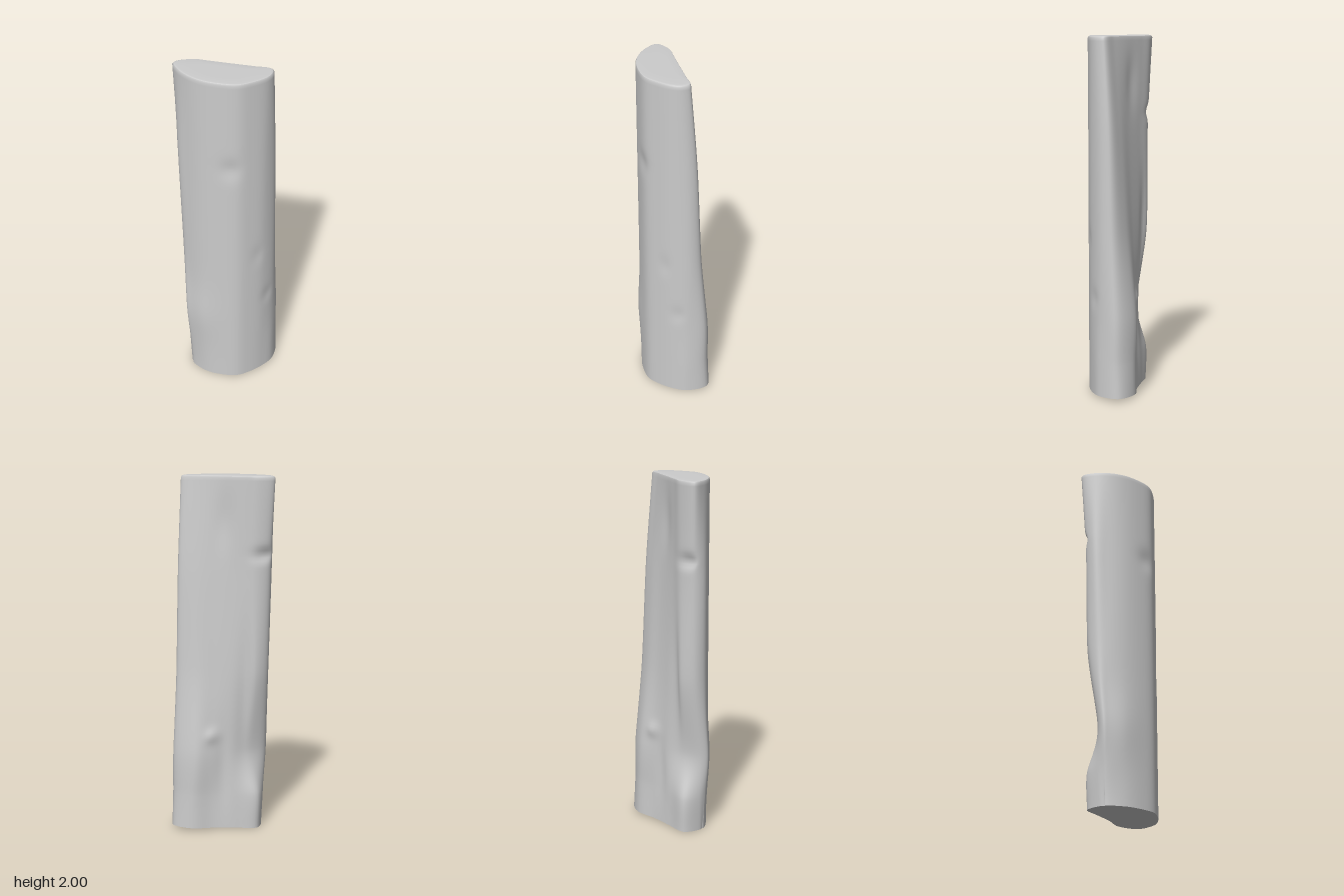
import * as THREE from 'three';

// Split face and its two corners as [x, z] pairs, from the back edge to the right edge
const faces = [
  { y: 0, p: [-.226, -.07, -.215, -.1, -.14, -.165, -.04, -.115, .08, -.05, .2, 0, .255, .11, .165, .195] },
  { y: 0.2, p: [-.235, -.08, -.215, -.115, -.14, -.168, -.04, -.11, .08, -.045, .195, 0, .245, .115, .165, .193] },
  { y: 0.45, p: [-.25, -.09, -.22, -.11, -.13, -.11, -.03, -.09, .08, -.048, .18, -.01, .243, .113, .17, .185] },
  { y: 0.9, p: [-.24, -.12, -.2, -.165, -.115, -.165, -.035, -.1, .055, -.035, .15, .03, .21, .122, .172, .18] },
  { y: 1.5, p: [-.245, -.14, -.2, -.185, -.12, -.168, -.05, -.1, .04, -.015, .13, .062, .187, .135, .16, .18] },
  { y: 1.988, p: [-.238, -.15, -.21, -.216, -.12, -.185, -.06, -.115, .02, -.015, .1, .085, .155, .155, .13, .19] },
];
// Bark curve shared by every height, continuing from the right edge round to the back
const bark = [.075, .21, -.015, .203, -.092, .18, -.16, .115, -.215, .03, -.24, -.06];
const COLS = 14, AROUND = COLS * 6, ROWS = 125;

// Dents and knots: u along the outline, height y, their spreads, push along the split face normal
const dents = [
  { u: 1.4, y: 1.57, su: 0.7, sy: 0.035, d: -0.022 },
  { u: 2.5, y: 0.85, su: 0.35, sy: 0.35, d: -0.018 },
  { u: 3.6, y: 0.35, su: 0.3, sy: 0.2, d: -0.012 },
  { u: 4.1, y: 0.55, su: 0.35, sy: 0.04, d: 0.014 },
  { u: 3.7, y: 1.75, su: 0.4, sy: 0.15, d: -0.01 },
  { u: 10.4, y: 1.48, su: 0.6, sy: 0.06, d: 0.01 },
  { u: 7.7, y: 0.56, su: 0.4, sy: 0.05, d: 0.01 },
  { u: 8.5, y: 0.88, su: 0.4, sy: 0.06, d: 0.006 },
  { u: 12.7, y: 0.43, su: 1.3, sy: 0.18, d: -0.016 },
  { u: 13, y: 0, su: 0.8, sy: 0.2, d: 0.016 },
];

// One vertical rail per outline point
const rails = Array.from({ length: COLS }, (_, i) => new THREE.CatmullRomCurve3(
  faces.map(({ y, p }) => {
    const [from, k] = i < 8 ? [p, i * 2] : [bark, (i - 8) * 2];
    return new THREE.Vector3(from[k], y, from[k + 1]);
  }), false, 'catmullrom', 0.4));

// Closed outline at one level, with its dents
function ring(t) {
  const outline = new THREE.CatmullRomCurve3(rails.map(r => r.getPoint(t)), true, 'centripetal');
  return Array.from({ length: AROUND }, (_, k) => {
    const v = outline.getPoint(k / AROUND);
    const push = dents.reduce((sum, e) => {
      const du = Math.abs(k * COLS / AROUND - e.u);
      const near = Math.min(du, COLS - du) / e.su;
      return sum + e.d * Math.exp(-(near ** 2) - ((v.y - e.y) / e.sy) ** 2);
    }, 0);
    v.x += push * 0.74;
    v.z -= push * 0.67;
    // the bottom cut rises slightly towards +x
    v.y += Math.max(0, 1 - v.y / 0.3) * (0.009 + v.x * 0.035);
    return v;
  });
}

// Ring shrunk towards its middle and raised, for bevels and caps
function inset(loop, scale, lift) {
  const c = loop.reduce((sum, v) => sum.add(v), new THREE.Vector3()).divideScalar(loop.length);
  return loop.map(v => {
    const q = c.clone().lerp(v, scale);
    q.y += lift;
    return q;
  });
}

// Skin a stack of closed rings, outside facing out
function skin(loops) {
  const idx = [];
  for (let r = 0; r < loops.length - 1; r++) {
    for (let k = 0; k < AROUND; k++) {
      const a = r * AROUND + k, b = r * AROUND + (k + 1) % AROUND;
      idx.push(a, a + AROUND, b, b, a + AROUND, b + AROUND);
    }
  }
  const g = new THREE.BufferGeometry().setFromPoints(loops.flat());
  g.setIndex(idx);
  g.computeVertexNormals();
  return g;
}

export function createModel() {
  const group = new THREE.Group();
  group.name = 'splitLog';
  const mat = new THREE.MeshStandardMaterial({ color: 0xcccccc });
  const add = (name, loops) => {
    const m = new THREE.Mesh(skin(loops), mat);
    m.name = name;
    group.add(m);
  };

  // Bark and split faces in one skin, with a soft top edge
  const walls = Array.from({ length: ROWS + 1 }, (_, r) => ring(r / ROWS));
  const foot = walls[0], rim = walls[ROWS];
  const edge = inset(rim, 0.975, 0.008);
  add('barkAndSplitFace', [...walls, edge]);

  // Sawn ends
  add('topCut', [edge, inset(rim, 0.93, 0.012), inset(rim, 0.5, 0.012), inset(rim, 0, 0.012)]);
  add('bottomCut', [inset(foot, 0, 0), inset(foot, 0.5, 0), foot]);
  return group;
}
